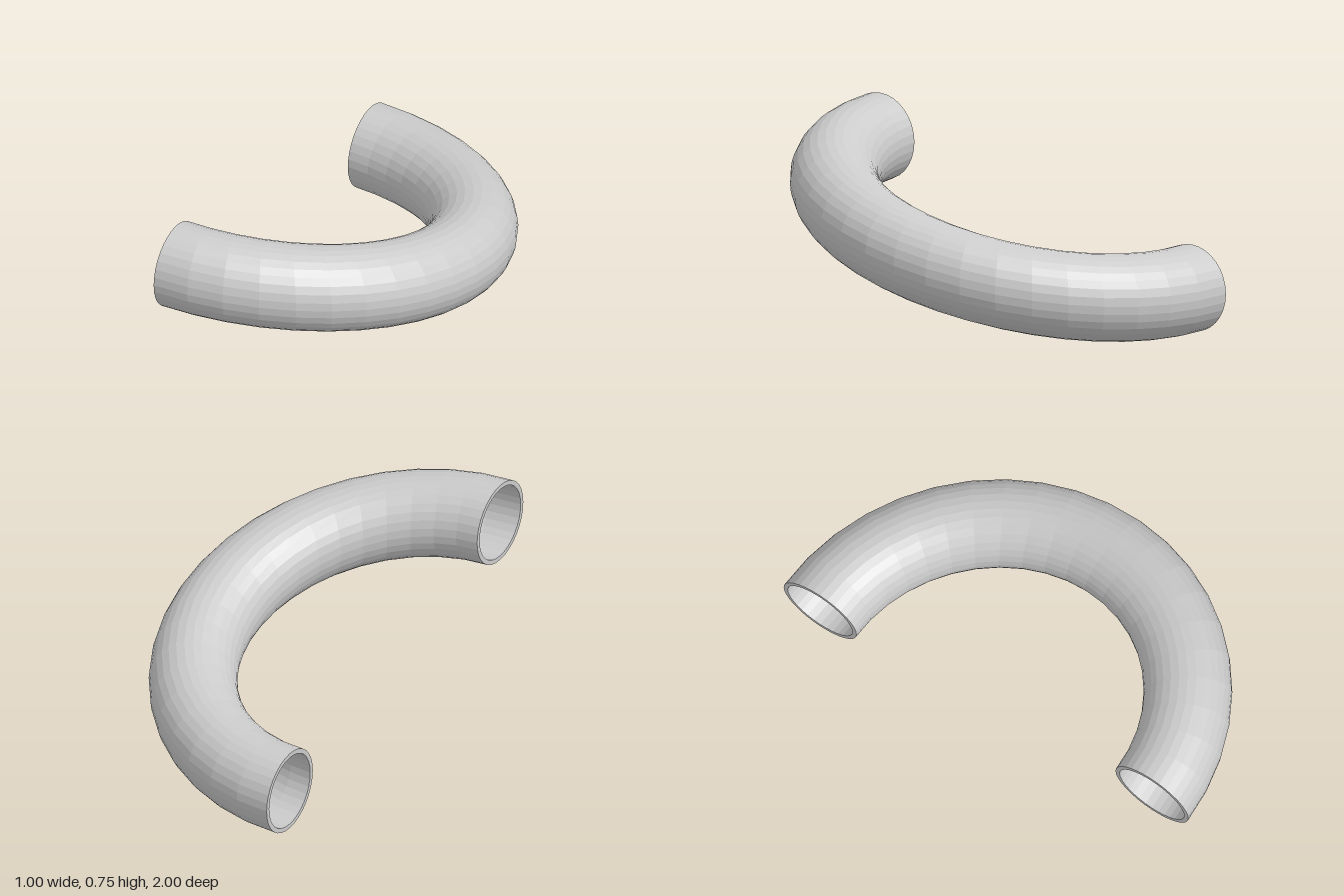
import * as THREE from 'three';

const R = 0.82, OUTER = 0.18, INNER = 0.16, SIDES = 32, STEPS = 21;

// Half torus opening towards -x, each section lifted along a sloping path
function bentTube(radius) {
  const g = new THREE.TorusGeometry(R, radius, SIDES, STEPS, Math.PI);
  g.rotateX(Math.PI / 2).rotateY(Math.PI / 2);
  const p = g.attributes.position;
  for (let i = 0; i < p.count; i++) {
    const t = Math.atan2(p.getZ(i), p.getX(i));
    p.setXYZ(i, p.getX(i) - 0.4985, p.getY(i) + pathHeight(t), p.getZ(i));
  }
  g.computeVertexNormals();
  return g;
}

// Height of the centre line: rises to the front, sags a little mid-bend
function pathHeight(t) {
  return 0.377 + 0.195 * Math.sin(t) - 0.022 * Math.cos(t);
}

export function createModel() {
  const group = new THREE.Group();
  group.name = 'bentPipe';
  const material = new THREE.MeshStandardMaterial({
    color: 0xcccccc, flatShading: true, side: THREE.DoubleSide,
  });
  const add = (name, geometry) => {
    const mesh = new THREE.Mesh(geometry, material);
    mesh.name = name;
    group.add(mesh);
    return mesh;
  };

  add('outerWall', bentTube(OUTER));
  add('innerWall', bentTube(INNER));

  // Flat rims closing the wall at both open ends
  for (const s of [1, -1]) {
    const rim = add(s > 0 ? 'frontRim' : 'backRim', new THREE.RingGeometry(INNER, OUTER, SIDES));
    rim.rotation.y = -Math.PI / 2;
    rim.position.set(-0.4985, pathHeight(s * Math.PI / 2), s * R);
  }
  return group;
}
